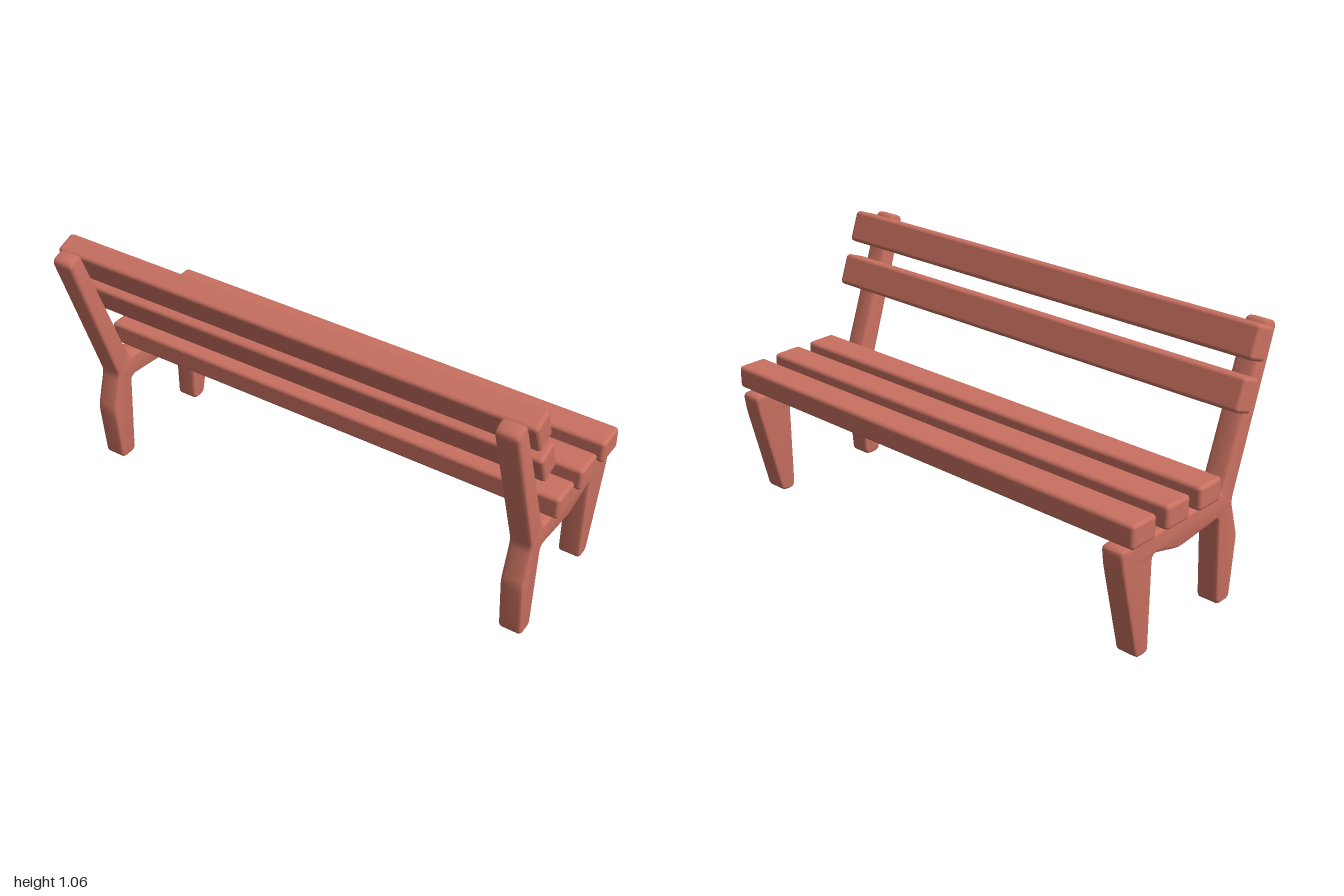
import * as THREE from 'three';
import { toCreasedNormals } from 'three/addons/utils/BufferGeometryUtils.js';
import { RoundedBoxGeometry } from 'three/addons/geometries/RoundedBoxGeometry.js';

// Closed outline with every corner softened by a short curve
function roundedOutline(points, radius) {
  const shape = new THREE.Shape();
  const pts = points.map(([z, y]) => new THREE.Vector2(z, y));
  const toward = (a, b) => a.clone().add(b.clone().sub(a).setLength(Math.min(radius, a.distanceTo(b) / 2.5)));
  pts.forEach((p, i) => {
    const start = toward(p, pts[(i + pts.length - 1) % pts.length]);
    const end = toward(p, pts[(i + 1) % pts.length]);
    if (i === 0) shape.moveTo(start.x, start.y);
    else shape.lineTo(start.x, start.y);
    shape.quadraticCurveTo(p.x, p.y, end.x, end.y);
  });
  shape.closePath();
  return shape;
}

export function createModel() {
  const bench = new THREE.Group();
  bench.name = 'bench';
  const wood = new THREE.MeshStandardMaterial({ color: 0xc87060 });
  wood.name = 'red painted wood';

  // Side frame: both legs, seat rail and back post in one piece (z, y)
  const outline = roundedOutline([
    [0.243, 0], [0.165, 0], [0.141, 0.367], [-0.09, 0.344], [-0.242, 0.383],
    [-0.242, 0], [-0.308, 0], [-0.404, 0.38], [-0.414, 0.456], [0.143, 0.459],
    [0.354, 1.05], [0.419, 1.027], [0.217, 0.41], [0.265, 0.255],
  ], 0.024);
  const width = 0.09, bevel = 0.012;
  const extruded = new THREE.ExtrudeGeometry(outline, {
    depth: width - 2 * bevel, curveSegments: 4,
    bevelSize: bevel, bevelThickness: bevel, bevelOffset: -bevel, bevelSegments: 3,
  });
  extruded.translate(0, 0, bevel - width / 2);
  extruded.rotateY(-Math.PI / 2);
  const frameGeometry = toCreasedNormals(extruded, 0.65);
  for (const [name, x] of [['leftFrame', 0.924], ['rightFrame', -0.924]]) {
    const frame = new THREE.Mesh(frameGeometry, wood);
    frame.name = name;
    frame.position.x = x;
    bench.add(frame);
  }

  // Planks: three flat on the seat, two leaning on the back posts
  const plankGeometry = new RoundedBoxGeometry(2, 0.092, 0.127, 3, 0.015);
  const lean = THREE.MathUtils.degToRad(20) - Math.PI / 2;
  const planks = [
    ['rearSeatPlank', 0.512, 0.034, 0],
    ['middleSeatPlank', 0.512, -0.15, 0],
    ['frontSeatPlank', 0.512, -0.335, 0],
    ['lowerBackPlank', 0.815, 0.222, lean],
    ['upperBackPlank', 0.988, 0.287, lean],
  ];
  for (const [name, y, z, tilt] of planks) {
    const plank = new THREE.Mesh(plankGeometry, wood);
    plank.name = name;
    plank.position.set(0, y, z);
    plank.rotation.x = tilt;
    bench.add(plank);
  }
  return bench;
}
